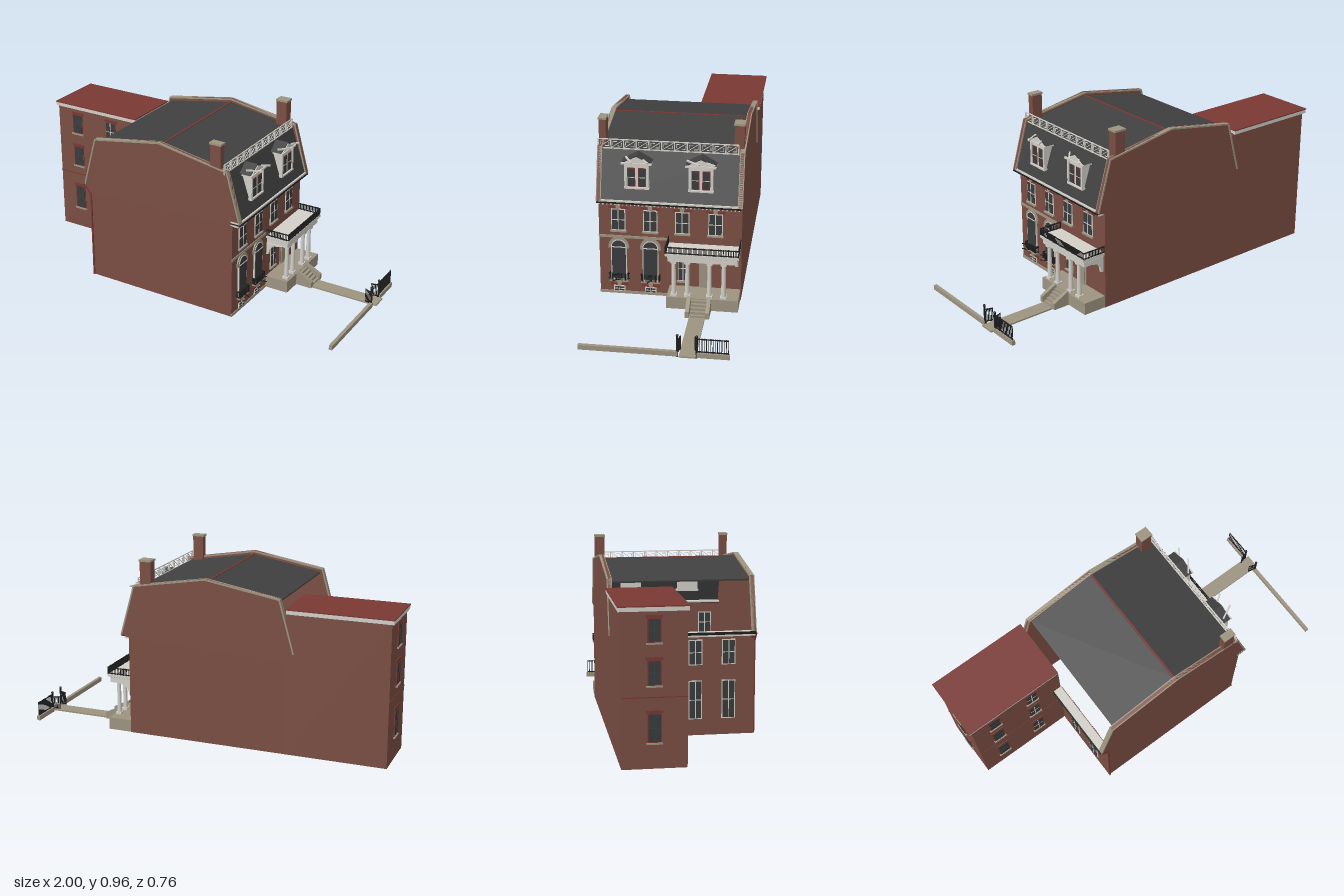
import * as THREE from 'three';

const mat = (name, color) => {
  const m = new THREE.MeshStandardMaterial({ color, side: THREE.DoubleSide });
  m.name = name;
  return m;
};
const brick = mat('brick', 0x7a4e43), slate = mat('slate', 0x404040), red = mat('red', 0x7a3833),
  white = mat('white', 0xd2cfc8), stone = mat('stone', 0x9c9380), iron = mat('iron', 0x1e1e1e),
  glass = mat('glass', 0x393b3c);

// ---- helpers ----
function add(parent, name, m, geo) {
  const mesh = new THREE.Mesh(geo, m);
  mesh.name = name;
  parent.add(mesh);
  return mesh;
}
function box(parent, name, m, x0, x1, y0, y1, z0, z1) {
  const b = add(parent, name, m, new THREE.BoxGeometry(Math.abs(x1 - x0), Math.abs(y1 - y0), Math.abs(z1 - z0)));
  b.position.set((x0 + x1) / 2, (y0 + y1) / 2, (z0 + z1) / 2);
  return b;
}
// Polygon in x, y pulled from z0 to z1
function prism(parent, name, m, pts, z0, z1) {
  const shape = pts instanceof THREE.Shape ? pts : new THREE.Shape(pts.map(p => new THREE.Vector2(...p)));
  const g = new THREE.ExtrudeGeometry(shape, { depth: z1 - z0, bevelEnabled: false, curveSegments: 14 });
  g.translate(0, 0, z0);
  return add(parent, name, m, g);
}
// Sloping plate whose upper face runs from p to q
function slab(parent, name, m, p, q, t, z0, z1) {
  const l = Math.hypot(q[0] - p[0], q[1] - p[1]);
  const nx = -(q[1] - p[1]) / l * t, ny = (q[0] - p[0]) / l * t;
  return prism(parent, name, m, [p, q, [q[0] - nx, q[1] - ny], [p[0] - nx, p[1] - ny]], z0, z1);
}
// Square bar between two points
function bar(parent, name, m, a, b, t) {
  const A = new THREE.Vector3(...a), B = new THREE.Vector3(...b);
  const mesh = add(parent, name, m, new THREE.BoxGeometry(t, t, A.distanceTo(B)));
  mesh.position.copy(A).add(B).multiplyScalar(0.5);
  mesh.lookAt(B);
}
function group(parent, name, x = 0, y = 0, z = 0, ry = 0) {
  const g = new THREE.Group();
  g.name = name;
  g.position.set(x, y, z);
  g.rotation.y = ry;
  parent.add(g);
  return g;
}
// Picket railing between two x, z points
function railing(parent, name, a, b, y0, y1, n, t = 0.003) {
  const g = group(parent, name);
  for (const y of [y0 + 0.005, y1 - 0.005]) bar(g, 'rail', iron, [a[0], y, a[1]], [b[0], y, b[1]], t * 1.5);
  for (let i = 0; i <= n; i++) {
    const x = a[0] + (b[0] - a[0]) * i / n, z = a[1] + (b[1] - a[1]) * i / n;
    box(g, 'picket', iron, x - t / 2, x + t / 2, y0, y1, z - t / 2, z + t / 2);
  }
}
// Two-by-two sash window, facing local +z, sill centre at the origin
function sash(g, w, h, frame = white, bars = white) {
  const f = 0.005;
  box(g, 'windowFrame', frame, -w / 2, w / 2, 0, h, -0.02, 0.004);
  box(g, 'windowPane', glass, -w / 2 + f, w / 2 - f, f, h - f, -0.022, 0.006);
  box(g, 'mullion', bars, -0.002, 0.002, f, h - f, -0.023, 0.008);
  box(g, 'meetingRail', bars, -w / 2 + f, w / 2 - f, h * 0.5 - 0.002, h * 0.5 + 0.002, -0.023, 0.007);
}
function lintel(g, w, y, h) {
  box(g, 'brickLintel', red, -w / 2 - 0.012, w / 2 + 0.012, y, y + 0.014, 0, 0.004);
  prism(g, 'keystone', stone, [[-0.009, y], [0.009, y], [0.014, y + h], [-0.014, y + h]], 0, 0.009);
}

// ---- main block ----
function walls(root) {
  const g = group(root, 'mainWalls');
  const top = [[0.41, 0.54], [0.455, 0.555], [0.378, 0.825], [-0.02, 0.893], [-0.42, 0.825], [-0.497, 0.55]];
  const gable = [[-0.46, 0.015], [0.41, 0.015], ...top, [-0.46, 0.51]];
  for (const [z0, z1] of [[0.355, 0.372], [-0.365, -0.348]]) {
    prism(g, 'gableWall', brick, gable, z0, z1);
    for (let i = 1; i < 5; i++) slab(g, 'coping', stone, top[i + 1], top[i], 0.008, z0 - 0.005, z1 + 0.004);
  }
  box(g, 'frontWall', brick, 0.395, 0.41, 0.015, 0.55, -0.362, 0.37);
  box(g, 'rearWall', brick, -0.46, -0.445, 0.015, 0.54, -0.05, 0.37);
  for (const z of [0.07, 0.24]) for (const [y, h] of [[0.1, 0.2], [0.38, 0.13]])
    sash(group(g, 'rearWindow', -0.46, y, z, -Math.PI / 2), 0.07, h);
  box(g, 'rearCornice', white, -0.497, -0.45, 0.53, 0.55, -0.05, 0.37);
  box(g, 'rearGutter', iron, -0.503, -0.497, 0.54, 0.553, -0.05, 0.372);
  bar(g, 'downpipeElbow', red, [-0.497, 0.545, 0.374], [-0.456, 0.5, 0.374], 0.008);
  bar(g, 'downpipe', red, [-0.456, 0.5, 0.374], [-0.456, 0.015, 0.374], 0.008);
}

function roof(root) {
  const g = group(root, 'roof');
  slab(g, 'rearRoof', slate, [-0.405, 0.805], [-0.02, 0.873], 0.008, -0.35, 0.357);
  slab(g, 'frontRoof', slate, [-0.02, 0.873], [0.36, 0.81], 0.008, -0.35, 0.357);
  box(g, 'ridge', red, -0.025, -0.015, 0.868, 0.876, -0.348, 0.355);
  slab(g, 'frontMansard', slate, [0.36, 0.81], [0.445, 0.556], 0.008, -0.348, 0.355);
  for (const [z0, z1] of [[0.338, 0.374], [-0.362, -0.312]]) {
    box(g, 'chimney', brick, 0.28, 0.34, 0.79, 0.955, z0, z1);
    box(g, 'chimneyCap', stone, 0.276, 0.344, 0.952, 0.962, z0 - 0.003, z1 + 0.003);
  }
  // Fretwork balustrade
  const rail = group(g, 'roofBalustrade'), x = 0.362, n = 11, zA = 0.373, step = 0.709 / n;
  const line = (z0, y0, z1, y1, t = 0.003) => bar(rail, 'fret', white, [x, y0, z0], [x, y1, z1], t);
  line(zA, 0.858, zA - 0.709, 0.858, 0.005);
  line(zA, 0.81, zA - 0.709, 0.81, 0.005);
  for (let i = 0; i <= n; i++) {
    const z = zA - i * step;
    line(z, 0.806, z, 0.86, 0.006);
    if (i === n) break;
    line(z, 0.812, z - step, 0.856);
    line(z - 0.01, 0.846, z - 0.03, 0.846);
    line(z - 0.01, 0.846, z - 0.01, 0.828);
    line(z - step + 0.01, 0.822, z - step + 0.03, 0.822);
    line(z - step + 0.01, 0.822, z - step + 0.01, 0.84);
  }
  // Dormers, built facing local +z
  for (const z of [0.168, -0.156]) {
    const d = group(g, 'dormer', 0, 0, z, Math.PI / 2);
    box(d, 'dormerBody', white, -0.056, 0.056, 0.632, 0.765, 0.37, 0.432);
    box(d, 'dormerSill', white, -0.064, 0.064, 0.625, 0.634, 0.37, 0.44);
    for (const s of [-1, 1]) {
      box(d, 'pilaster', white, s * 0.05, s * 0.062, 0.634, 0.757, 0.42, 0.438);
      box(d, 'sashFrame', red, s * 0.007, s * 0.047, 0.637, 0.738, 0.43, 0.434);
      box(d, 'sashPane', glass, s * 0.011, s * 0.043, 0.64, 0.733, 0.43, 0.436);
      box(d, 'sashRail', white, s * 0.011, s * 0.043, 0.685, 0.689, 0.43, 0.437);
      slab(d, 'dormerRoof', slate, ...(s < 0 ? [[-0.077, 0.766], [0, 0.804]] : [[0, 0.804], [0.077, 0.766]]), 0.006, 0.365, 0.434);
    }
    prism(d, 'pediment', white, [[-0.068, 0.762], [0.068, 0.762], [0, 0.797]], 0.37, 0.438);
    box(d, 'pedimentBase', white, -0.077, 0.077, 0.757, 0.766, 0.385, 0.444);
    for (const s of [-1, 1]) bar(d, 'pedimentEdge', white, [s * 0.077, 0.764, 0.439], [0, 0.8, 0.439], 0.008);
  }
}

// ---- street face ----
function facade(root) {
  const g = group(root, 'facade');
  box(g, 'cornice', white, 0.4, 0.452, 0.553, 0.562, -0.362, 0.373);
  box(g, 'gutterLine', iron, 0.4, 0.457, 0.546, 0.553, -0.362, 0.373);
  box(g, 'corniceBed', white, 0.4, 0.435, 0.538, 0.546, -0.362, 0.373);
  for (let i = 0; i < 36; i++) box(g, 'dentil', white, 0.41, 0.44, 0.532, 0.543, 0.36 - i * 0.0204, 0.367 - i * 0.0204);
  box(g, 'beltCourse', stone, 0.408, 0.414, 0.336, 0.35, 0.015, 0.374);
  box(g, 'plinth', stone, 0.408, 0.414, 0.015, 0.03, -0.362, 0.374);
  for (const z of [0.27, 0.105, -0.06, -0.23]) {
    const w = group(g, 'upperWindow', 0.41, 0.38, z, Math.PI / 2);
    sash(w, 0.074, 0.12);
    lintel(w, 0.074, 0.121, 0.033);
    box(w, 'sill', stone, -0.042, 0.042, -0.008, 0, 0, 0.012);
  }
  for (const z of [0.27, 0.105]) {
    // Tall arched window with iron balcony
    const w = group(g, 'archedWindow', 0.41, 0.1, z, Math.PI / 2);
    const arch = (r, y0) => {
      const s = new THREE.Shape();
      s.moveTo(-r, y0); s.lineTo(r, y0); s.lineTo(r, 0.187);
      s.absarc(0, 0.187, r, 0, Math.PI, false);
      return s;
    };
    prism(w, 'archSurround', stone, arch(0.054, 0.178), -0.01, 0.006);
    prism(w, 'archFrame', white, arch(0.041, 0), -0.02, 0.008);
    prism(w, 'archPane', glass, arch(0.036, 0.006), -0.022, 0.01);
    box(w, 'transom', white, -0.036, 0.036, 0.184, 0.189, 0, 0.012);
    box(w, 'sill', stone, -0.05, 0.05, -0.008, 0, 0, 0.022);
    railing(w, 'balcony', [-0.048, 0.02], [0.048, 0.02], 0, 0.04, 14);
    for (const s of [-1, 1]) railing(w, 'balconySide', [s * 0.048, 0], [s * 0.048, 0.02], 0, 0.04, 3);
    const b = group(g, 'basementWindow', 0.41, 0.028, z, Math.PI / 2);
    sash(b, 0.06, 0.032);
    lintel(b, 0.07, 0.034, 0.034);
  }
  const w = group(g, 'porchWindow', 0.41, 0.11, -0.065, Math.PI / 2);
  sash(w, 0.056, 0.147);
  box(w, 'sill', stone, -0.034, 0.034, -0.008, 0, 0, 0.012);
  box(g, 'doorFrame', stone, 0.4, 0.414, 0.08, 0.262, -0.208, -0.148);
  box(g, 'door', stone, 0.4, 0.418, 0.08, 0.228, -0.198, -0.158);
  box(g, 'transomPane', glass, 0.4, 0.418, 0.234, 0.253, -0.198, -0.158);
}

function porch(root) {
  const g = group(root, 'porch');
  box(g, 'porchBase', stone, 0.41, 0.54, 0.015, 0.08, -0.362, 0.006);
  for (const z of [-0.03, -0.1, -0.213, -0.285]) {
    const c = add(g, 'column', white, new THREE.CylinderGeometry(0.01, 0.0125, 0.18, 20));
    c.position.set(0.515, 0.18, z);
    box(g, 'columnFoot', white, 0.499, 0.531, 0.08, 0.092, z - 0.016, z + 0.016);
    box(g, 'columnHead', white, 0.5, 0.53, 0.266, 0.28, z - 0.015, z + 0.015);
  }
  for (const z of [-0.002, -0.342]) {
    prism(g, 'wallBracket', white, [[0.41, 0.215], [0.422, 0.215], [0.428, 0.245], [0.45, 0.268], [0.5, 0.28], [0.41, 0.28]], z - 0.008, z + 0.008);
  }
  box(g, 'frieze', white, 0.41, 0.532, 0.278, 0.31, -0.352, 0);
  box(g, 'porchCornice', white, 0.41, 0.543, 0.312, 0.325, -0.362, 0.012);
  for (let i = 0; i < 22; i++) box(g, 'dentil', white, 0.53, 0.538, 0.304, 0.314, -0.35 + i * 0.0163, -0.342 + i * 0.0163);
  for (let i = 0; i < 8; i++) for (const z of [0.003, -0.355])
    box(g, 'sideDentil', white, 0.415 + i * 0.015, 0.422 + i * 0.015, 0.304, 0.314, z - 0.004, z + 0.004);
  railing(g, 'porchRail', [0.54, 0.01], [0.54, -0.36], 0.325, 0.365, 44);
  for (const z of [0.01, -0.36]) railing(g, 'porchRailSide', [0.412, z], [0.54, z], 0.325, 0.365, 14);
  // Steps between sloping cheek walls
  for (let i = 0; i < 5; i++) box(g, 'step', stone, 0.54, 0.556 + i * 0.017, 0.014, 0.075 - i * 0.012, -0.205, -0.125);
  for (const z of [-0.225, -0.122]) prism(g, 'cheekWall', stone, [[0.54, 0.015], [0.63, 0.015], [0.63, 0.05], [0.54, 0.095]], z, z + 0.02);
}

// ---- rear wing ----
function wing(root) {
  const g = group(root, 'rearWing');
  box(g, 'wingSideWall', brick, -0.985, -0.45, 0.015, 0.76, -0.065, -0.055);
  box(g, 'wingOuterWall', brick, -0.985, -0.45, 0.015, 0.76, -0.365, -0.35);
  box(g, 'wingEndWall', brick, -0.985, -0.97, 0.015, 0.76, -0.362, -0.058);
  box(g, 'wingCornice', white, -0.998, -0.455, 0.756, 0.776, -0.378, -0.05);
  box(g, 'wingRoof', red, -1, -0.453, 0.776, 0.782, -0.38, -0.048);
  box(g, 'wingBelt', red, -0.988, -0.455, 0.352, 0.357, -0.36, -0.053);
  const place = [[-0.855, -0.055, 0], [-0.625, -0.055, 0], [-0.985, -0.21, -Math.PI / 2]];
  for (const [x, z, ry] of place) for (const [y, h] of [[0.14, 0.14], [0.41, 0.12], [0.61, 0.115]]) {
    const w = group(g, 'wingWindow', x, y, z, ry);
    sash(w, 0.066, h, red, x === -0.625 ? white : slate);
    box(w, 'wingLintel', red, -0.04, 0.04, h, h + 0.013, 0, 0.004);
    box(w, 'wingSill', stone, -0.038, 0.038, -0.008, 0, 0, 0.01);
  }
}

// ---- path, kerb, fence and open gates ----
function frontYard(root) {
  const g = group(root, 'frontYard');
  box(g, 'path', stone, 0.62, 1, 0.01, 0.018, -0.203, -0.122);
  for (const [z0, z1] of [[-0.365, -0.205], [-0.115, 0.372]]) box(g, 'kerb', stone, 0.966, 0.984, 0.005, 0.03, z0, z1);
  railing(g, 'fence', [0.975, -0.21], [0.975, -0.358], 0.03, 0.108, 14);
  for (const [z, dz] of [[-0.205, 0.012], [-0.112, -0.012]]) {
    box(g, 'gatePost', iron, 0.971, 0.979, 0, 0.112, z - 0.004, z + 0.004);
    add(g, 'postFinial', iron, new THREE.SphereGeometry(0.007, 10, 8)).position.set(0.975, 0.115, z);
    railing(g, 'gate', [0.972, z], [0.936, z + dz], 0.02, 0.095, 5);
  }
}

export function createModel() {
  const root = new THREE.Group();
  root.name = 'townhouse';
  for (const part of [walls, roof, facade, porch, wing, frontYard]) part(root);
  return root;
}
